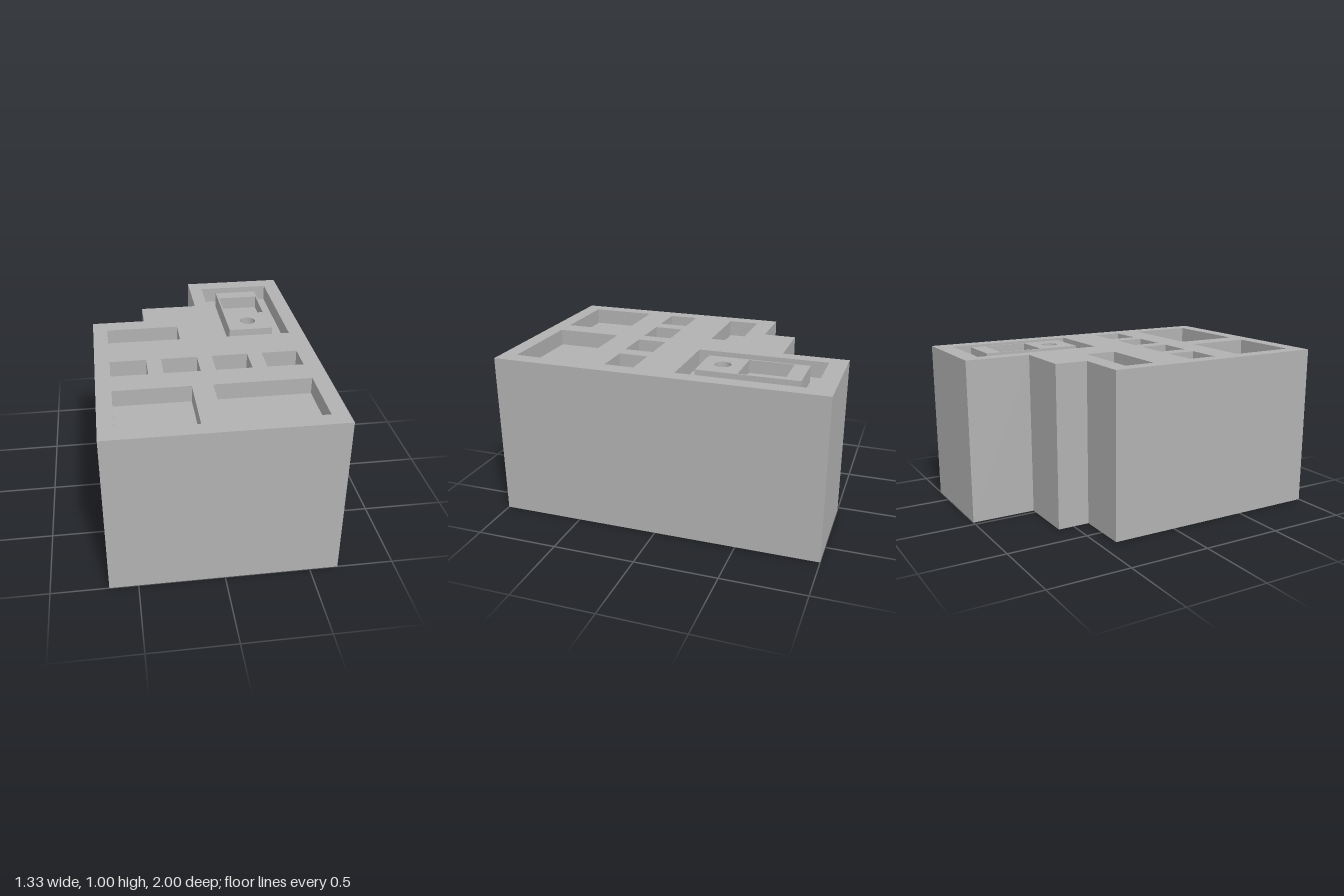
import * as THREE from 'three';

const stone = new THREE.MeshStandardMaterial({ color: 0xb2b2b2 });
stone.name = 'plain grey';

// Loops are [x, z] points, counter-clockwise seen from above
const rect = (x0, x1, z0, z1) => [[x0, z1], [x1, z1], [x1, z0], [x0, z0]];
const circle = (cx, cz, r, n = 48) => Array.from({ length: n }, (_, i) => {
  const a = (i / n) * Math.PI * 2;
  return [cx + r * Math.cos(a), cz - r * Math.sin(a)];
});

function addMesh(group, name, geometry) {
  const mesh = new THREE.Mesh(geometry, stone);
  mesh.name = name;
  group.add(mesh);
}

// Horizontal face at height y, cut by holes
function addCap(group, name, loop, y, holes = [], down = false) {
  const s = down ? 1 : -1;
  const vectors = (l) => l.map(([x, z]) => new THREE.Vector2(x, s * z));
  const shape = new THREE.Shape(vectors(loop));
  shape.holes = holes.map((h) => new THREE.Path(vectors(h)));
  const geometry = new THREE.ShapeGeometry(shape);
  geometry.rotateX(s * Math.PI / 2).translate(0, y, 0);
  addMesh(group, name, geometry);
}

// Vertical walls around a loop, facing out or in
function addWalls(group, name, loop, y0, y1, inward = false) {
  const pts = inward ? [...loop].reverse() : loop;
  const pos = [];
  pts.forEach(([ax, az], i) => {
    const [bx, bz] = pts[(i + 1) % pts.length];
    pos.push(ax, y0, az, bx, y0, bz, bx, y1, bz, ax, y0, az, bx, y1, bz, ax, y1, az);
  });
  const geometry = new THREE.BufferGeometry();
  geometry.setAttribute('position', new THREE.Float32BufferAttribute(pos, 3));
  geometry.computeVertexNormals();
  addMesh(group, name, geometry);
}

function addPocket(group, name, loop, depth, floorHoles = []) {
  addWalls(group, name + 'Walls', loop, 1 - depth, 1, true);
  addCap(group, name + 'Floor', loop, 1 - depth, floorHoles);
}

export function createModel() {
  const model = new THREE.Group();
  model.name = 'steppedBlock';
  const depth = 0.1;

  // Body with a stepped back edge
  const outline = [
    [-0.667, 1], [0.667, 1], [0.667, -1], [0.03, -1],
    [0.03, -0.6], [-0.333, -0.6], [-0.333, -0.4], [-0.667, -0.4],
  ];

  // Rectangular recesses in the top
  const recesses = [
    rect(-0.577, -0.127, 0.503, 0.905),
    rect(-0.005, 0.569, 0.503, 0.905),
    rect(-0.577, -0.127, -0.287, -0.1),
  ];
  for (let i = 0; i < 4; i++) {
    const x = -0.577 + i * 0.307;
    recesses.push(rect(x, x + 0.217, 0.153, 0.333));
  }
  const court = rect(0.115, 0.573, -0.893, -0.1);

  addWalls(model, 'bodySides', outline, 0, 1);
  addCap(model, 'bodyBase', outline, 0, [], true);
  addCap(model, 'bodyTop', outline, 1, [...recesses, court]);
  recesses.forEach((r, i) => addPocket(model, 'recess' + (i + 1), r, depth));

  // Large recess holding a raised island
  const island = rect(0.205, 0.483, -0.802, -0.19);
  addPocket(model, 'court', court, depth, [island]);

  // Island with a square basin and a round hole
  const basin = rect(0.215, 0.473, -0.71, -0.44);
  const hole = circle(0.344, -0.316, 0.05);
  addWalls(model, 'islandSides', island, 1 - depth, 1);
  addCap(model, 'islandTop', island, 1, [basin, hole]);
  addPocket(model, 'basin', basin, 0.08);
  addPocket(model, 'roundHole', hole, 0.05);

  return model;
}
